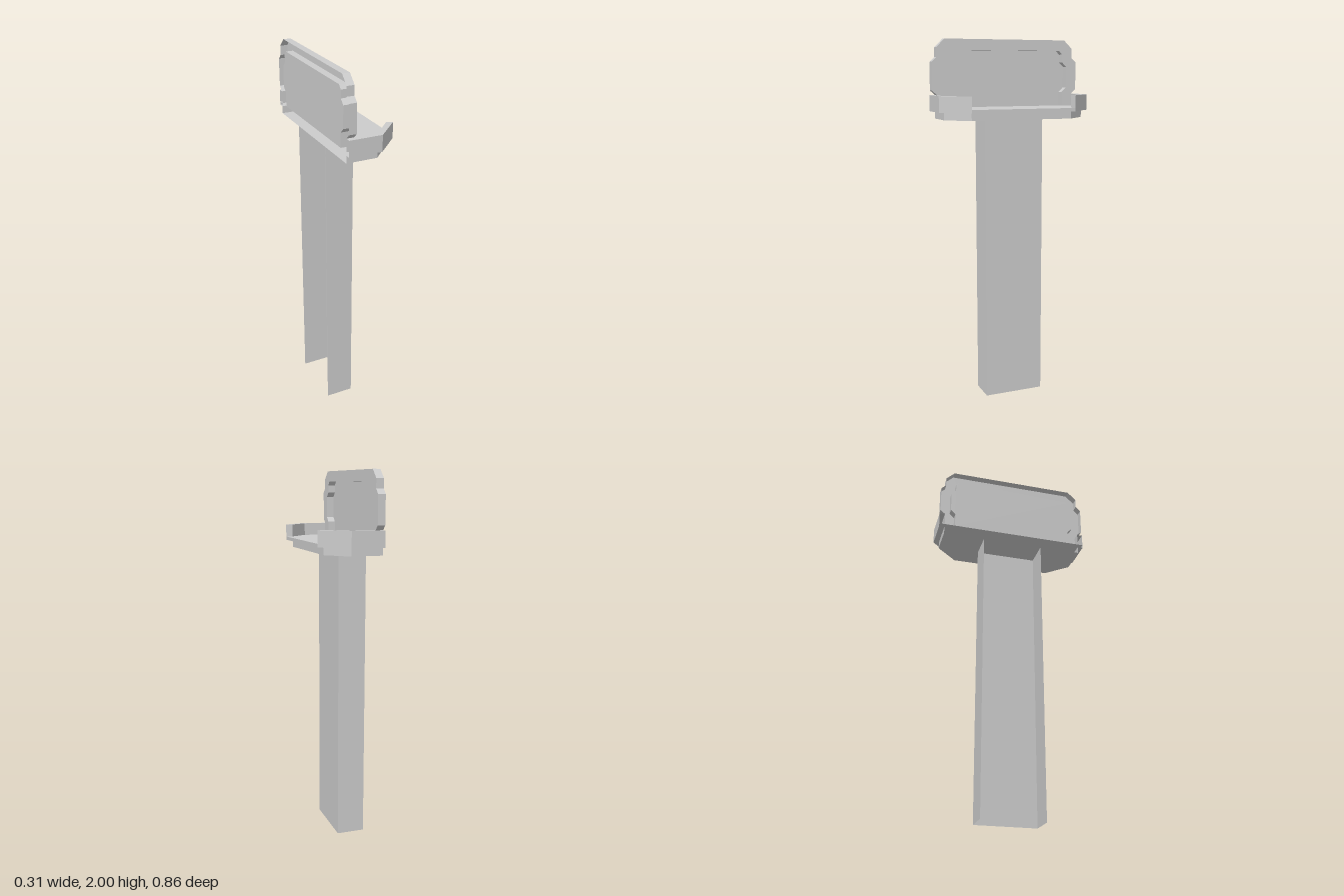
import * as THREE from 'three';

const material = new THREE.MeshStandardMaterial({
  color: 0xcccccc, flatShading: true, side: THREE.DoubleSide,
});

function addMesh(group, name, geometry) {
  const mesh = new THREE.Mesh(geometry, material);
  mesh.name = name;
  group.add(mesh);
}

// Skin between successive rows of [x, y, z] points
function loft(rows) {
  const n = rows[0].length, index = [];
  for (let r = 0; r < rows.length - 1; r++) {
    for (let i = 0; i < n - 1; i++) {
      const a = r * n + i, b = a + n;
      index.push(a, a + 1, b + 1, a, b + 1, b);
    }
  }
  const geometry = new THREE.BufferGeometry();
  geometry.setAttribute('position', new THREE.Float32BufferAttribute(rows.flat(2), 3));
  geometry.setIndex(index);
  const flat = geometry.toNonIndexed();
  flat.computeVertexNormals();
  return flat;
}

const fill = (pts) => new THREE.ShapeGeometry(new THREE.Shape(pts.map(([x, y]) => new THREE.Vector2(x, y))));
const atHeight = (plan, y) => plan.map(([x, z]) => [x, y, z]);
const atDepth = (face, x) => face.map(([z, y]) => [x, y, z]);
const mirrorPlan = (half) => [...half, ...half.map(([x, z]) => [x, -z]).reverse()];
const mirrorFace = (half) => [...half, ...half.map(([z, y]) => [-z, y]).reverse()];

export function createModel() {
  const group = new THREE.Group();
  const back = -0.154, front = -0.114;
  const baseY = 1.58, ledgeY = 1.62, floorY = 1.638, rimY = 1.705;

  // Column: three-sided channel, open at the back
  const channel = mirrorPlan([[back, 0.168], [-0.002, 0.168]]);
  addMesh(group, 'column', loft([atHeight(channel, 0), atHeight(channel, baseY)]));

  // Tray: stepped underside with a wider floor, open at the back
  const outer = mirrorPlan([[back, 0.428], [0.022, 0.428], [0.153, 0.293]]);
  const inner = mirrorPlan([[back, 0.398], [0.012, 0.398], [0.118, 0.283]]);
  addMesh(group, 'traySides', loft([
    atHeight(inner, baseY), atHeight(inner, ledgeY),
    atHeight(outer, ledgeY), atHeight(outer, floorY),
  ]));
  addMesh(group, 'trayBottom', fill(inner).rotateX(Math.PI / 2).translate(0, baseY, 0));
  addMesh(group, 'trayFloor', fill(outer).rotateX(-Math.PI / 2).translate(0, floorY, 0));

  // Raised rims that wrap round each end of the tray
  for (const side of ['left', 'right']) {
    const [from, to] = side === 'left' ? [0, 3] : [3, 6];
    const o = outer.slice(from, to), i = inner.slice(from, to);
    addMesh(group, side + 'Rim', loft([
      atHeight(o, floorY), atHeight(o, rimY), atHeight(i, rimY), atHeight(i, floorY),
    ]));
    const end = side === 'left' ? [o[2], i[2]] : [i[0], o[0]];
    addMesh(group, side + 'RimEnd', loft([atHeight(end, floorY), atHeight(end, rimY)]));
  }

  // Backrest: notched frame, hollow behind, around a recessed panel
  const frameOuter = mirrorFace([
    [0.397, floorY], [0.397, 1.705], [0.424, 1.73], [0.424, 1.88],
    [0.397, 1.905], [0.397, 1.955], [0.35, 2],
  ]);
  const frameInner = mirrorFace([
    [0.338, floorY], [0.338, 1.715], [0.364, 1.74], [0.364, 1.855],
    [0.338, 1.88], [0.338, 1.922], [0.32, 1.942],
  ]);
  addMesh(group, 'backFrame', loft([
    atDepth(frameInner, back), atDepth(frameInner, front),
    atDepth(frameOuter, front), atDepth(frameOuter, back),
  ]));
  addMesh(group, 'backPanel', fill(frameInner).rotateY(Math.PI / 2).translate(back, 0, 0));

  return group;
}
